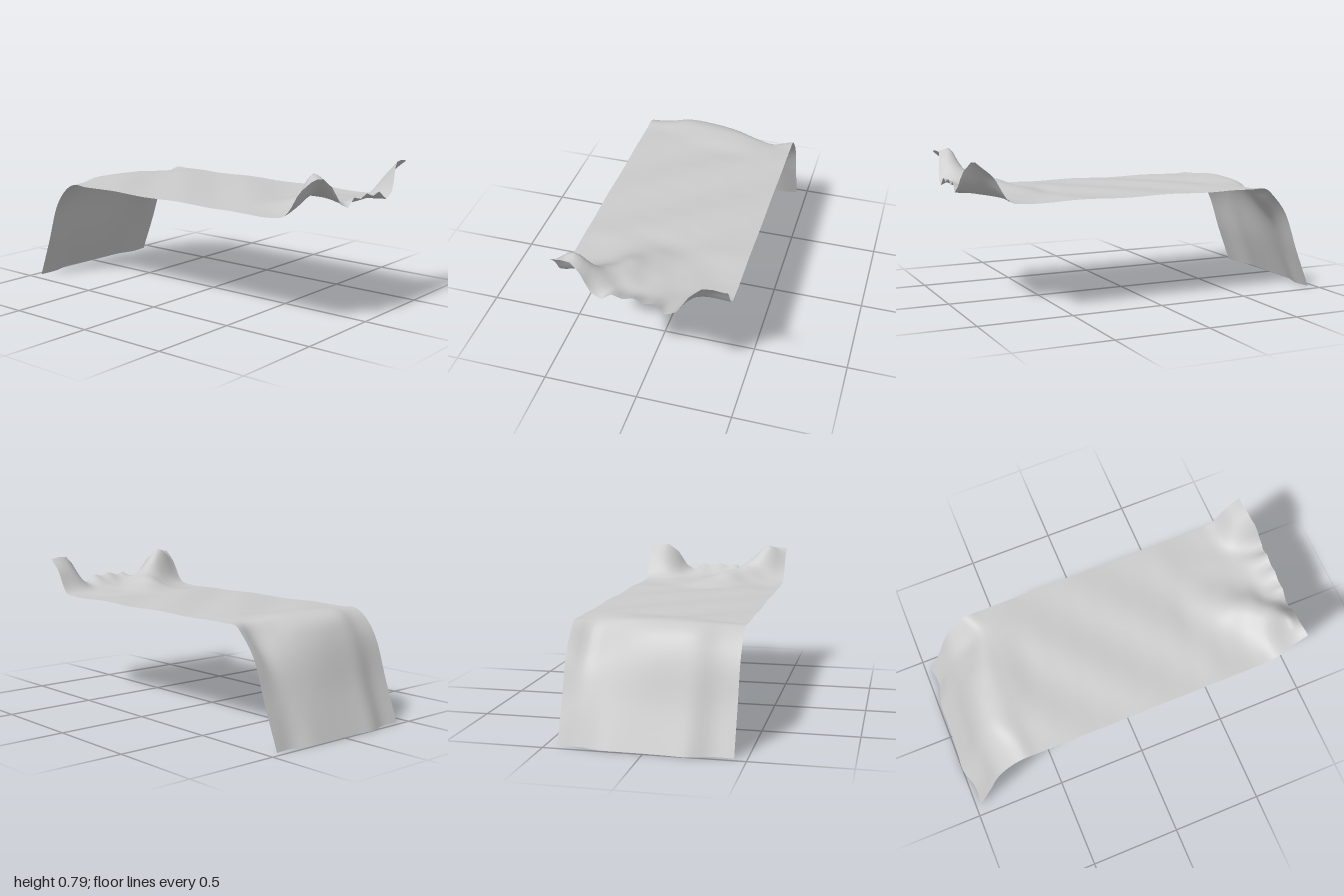
import * as THREE from 'three';

const HALF = 0.437; // half width of the sheet
const COLS = 32, ROWS = 96;

// smooth or straight interpolation through evenly spaced values, t from 0 to 1
function sample(values, t, smooth = true) {
  if (typeof values === 'number') return values;
  const n = values.length - 1;
  const i = Math.min(n - 1, Math.floor(t * n)), f = t * n - i;
  const at = (k) => values[Math.max(0, Math.min(n, k))];
  if (!smooth) return at(i) * (1 - f) + at(i + 1) * f;
  const a = at(i - 1), b = at(i), c = at(i + 1), d = at(i + 2);
  return b + 0.5 * f * (c - a + f * (2 * a - 5 * b + 4 * c - d + f * (3 * (b - c) + d - a)));
}

// wavy front hem
const frontHem = {
  z: [0.95, 0.943, 0.975, 0.982, 0.986, 0.992, 1.0, 0.962, 0.955],
  y: [0.77, 0.775, 0.77, 0.725, 0.635, 0.61, 0.655, 0.64, 0.66,
    0.64, 0.655, 0.61, 0.64, 0.73, 0.775, 0.78, 0.77],
  straight: true,
};

// upturned front corners and a diagonal fold on the right half
const frontRows = [
  { z: 0.885, y: [0.71, 0.79, 0.70, 0.62, 0.60, 0.605, 0.605, 0.69, 0.71] },
  { z: 0.80, y: [0.59, 0.62, 0.66, 0.645, 0.60, 0.59, 0.585, 0.59, 0.585] },
  { z: 0.70, y: [0.57, 0.575, 0.60, 0.64, 0.61, 0.585, 0.58, 0.57, 0.57] },
  { z: 0.58, y: [0.57, 0.57, 0.58, 0.595, 0.60, 0.585, 0.575, 0.57, 0.57] },
];

// back bend and hanging flap
const backRows = [
  { z: -0.58, y: [0.572, 0.575, 0.583, 0.588, 0.588, 0.585, 0.58, 0.575, 0.572] },
  {
    z: [-0.66, -0.67, -0.70, -0.69, -0.68, -0.67, -0.65, -0.635, -0.67],
    y: [0.575, 0.58, 0.588, 0.59, 0.588, 0.583, 0.57, 0.56, 0.57],
  },
  {
    z: [-0.73, -0.74, -0.77, -0.77, -0.76, -0.74, -0.72, -0.70, -0.72],
    y: [0.54, 0.545, 0.555, 0.555, 0.55, 0.54, 0.51, 0.49, 0.53],
  },
  {
    z: [-0.81, -0.815, -0.83, -0.83, -0.825, -0.815, -0.805, -0.80, -0.80],
    y: [0.44, 0.45, 0.465, 0.46, 0.45, 0.43, 0.40, 0.375, 0.43],
  },
  { z: [-0.89, -0.89, -0.915, -0.91, -0.905, -0.90, -0.89, -0.875, -0.88], y: 0.215 },
  { z: [-0.97, -0.968, -1.0, -0.995, -0.99, -0.988, -0.985, -0.955, -0.965], y: 0 },
];

// gentle ripples on the flat middle
const middleRows = [];
for (let z = 0.46; z > -0.5; z -= 0.115) {
  const y = Array.from({ length: 9 }, (_, i) => {
    const fade = Math.sin((i / 8) * Math.PI);
    return 0.573 + 0.005 * fade + 0.006 * Math.sin(z * 13 + i * 1.1) * (0.5 + 0.5 * fade);
  });
  middleRows.push({ z, y });
}

export function createModel() {
  const group = new THREE.Group();
  group.name = 'drapedCloth';
  const rows = [frontHem, ...frontRows, ...middleRows, ...backRows];

  // one lengthwise curve per column
  const columns = [];
  for (let c = 0; c <= COLS; c++) {
    const t = c / COLS;
    columns.push(new THREE.CatmullRomCurve3(rows.map((r) => new THREE.Vector3(
      (t * 2 - 1) * HALF, sample(r.y, t, !r.straight), sample(r.z, t)))));
  }

  // plane grid draped onto the curves, front hem to back hem
  const geometry = new THREE.PlaneGeometry(1, 1, COLS, ROWS);
  const position = geometry.attributes.position;
  const p = new THREE.Vector3();
  for (let r = 0; r <= ROWS; r++) {
    for (let c = 0; c <= COLS; c++) {
      columns[c].getPoint(1 - r / ROWS, p);
      position.setXYZ(r * (COLS + 1) + c, p.x, Math.max(0, p.y), p.z);
    }
  }
  geometry.computeVertexNormals();

  const cloth = new THREE.Mesh(geometry, new THREE.MeshStandardMaterial({
    color: 0xcccccc, side: THREE.DoubleSide,
  }));
  cloth.name = 'clothSheet';
  group.add(cloth);
  return group;
}
